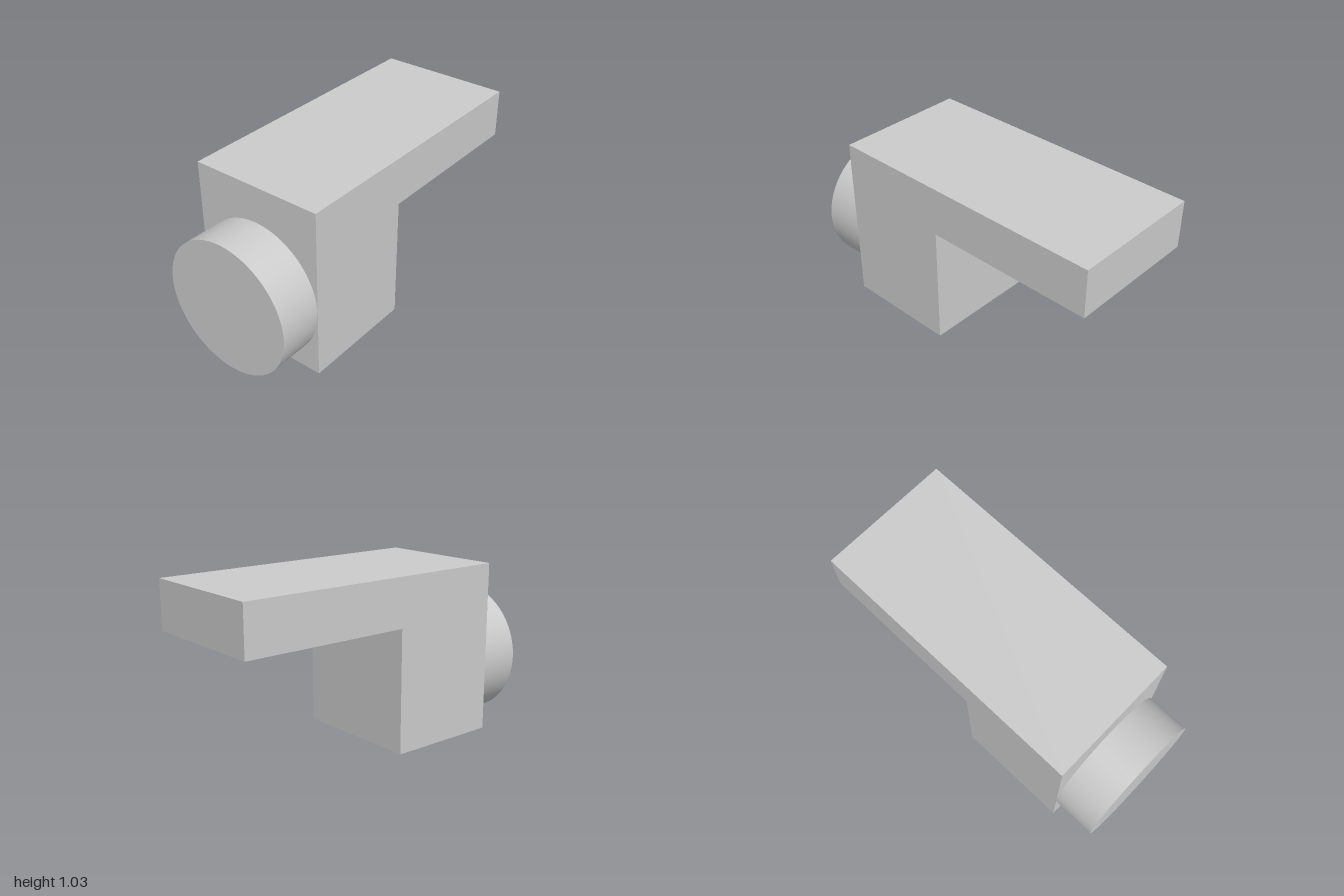
import * as THREE from 'three';

export function createModel() {
  const group = new THREE.Group();
  const material = new THREE.MeshStandardMaterial({ color: 0xcccccc });
  const width = 0.814, top = 1.035, frontZ = 0.738;

  // L-shaped body: side profile as (z, y), extruded across the width
  const profile = new THREE.Shape([
    [frontZ, 0], [frontZ, top], [-1, top], [-1, 0.742], [0.037, 0.742], [0.037, 0],
  ].map(([z, y]) => new THREE.Vector2(z, y)));
  const bodyGeometry = new THREE.ExtrudeGeometry(profile, { depth: width, bevelEnabled: false });
  bodyGeometry.translate(0, 0, -width / 2).rotateY(-Math.PI / 2);
  const body = new THREE.Mesh(bodyGeometry, material);
  body.name = 'bracketBody';
  group.add(body);

  // Round boss on the front face
  const depth = 1 - frontZ;
  const bossGeometry = new THREE.CylinderGeometry(0.406, 0.406, depth, 96).rotateX(Math.PI / 2);
  const boss = new THREE.Mesh(bossGeometry, material);
  boss.name = 'frontBoss';
  boss.position.set(0, 0.409, frontZ + depth / 2);
  group.add(boss);

  return group;
}
